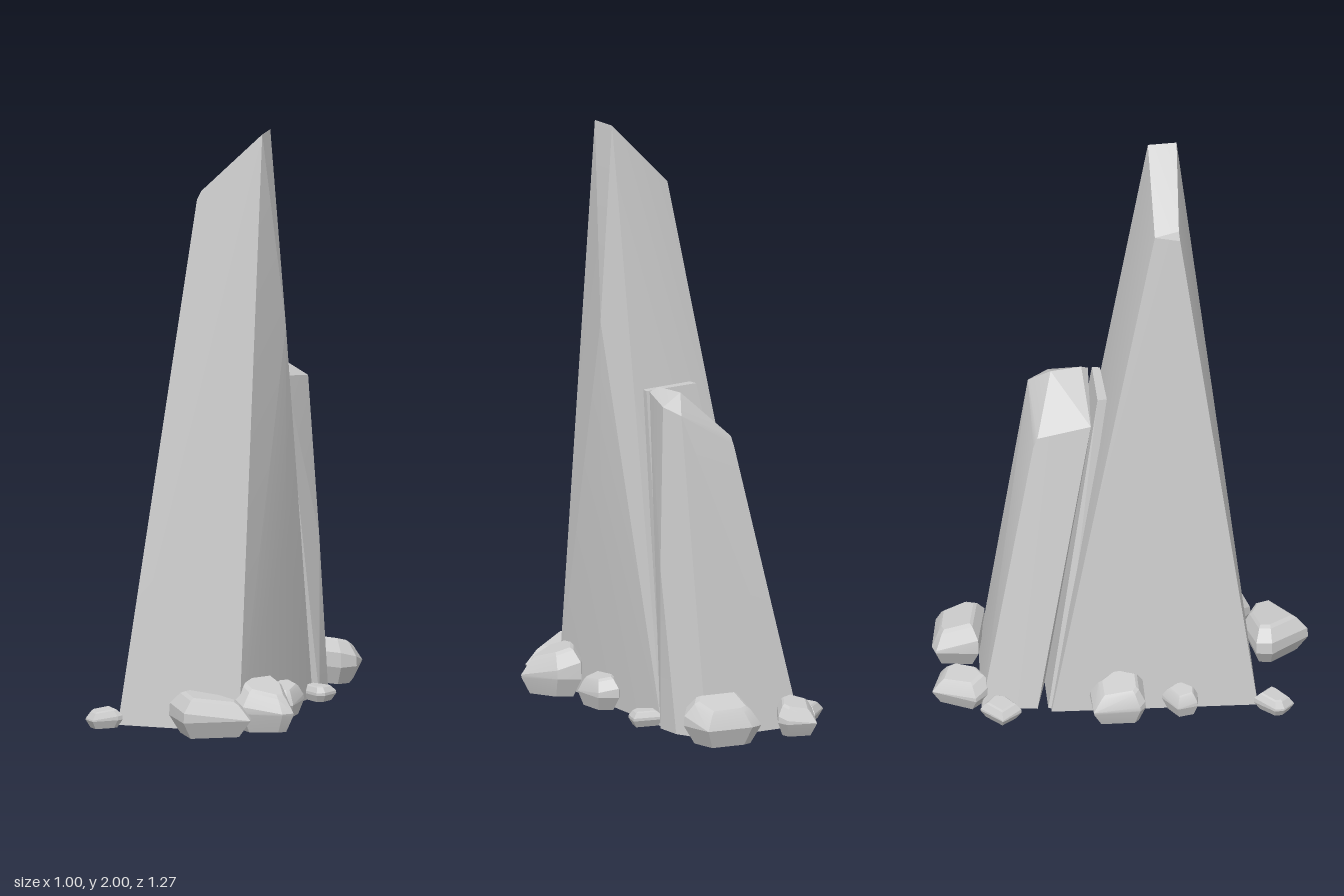
import * as THREE from 'three';
import { ConvexGeometry } from 'three/addons/geometries/ConvexGeometry.js';
import { toCreasedNormals } from 'three/addons/utils/BufferGeometryUtils.js';

const material = new THREE.MeshStandardMaterial({ color: 0xcccccc });

// Faceted solid wrapped around a handful of corner points.
function hull(name, points, crease = 0.3) {
  const geometry = new ConvexGeometry(points.map((p) => new THREE.Vector3(...p)));
  const mesh = new THREE.Mesh(toCreasedNormals(geometry, crease), material);
  mesh.name = name;
  return mesh;
}

// Boulder from its [x, z] outline: tucked-in foot, full belly, bevelled sloping top.
function boulder(name, outline, height, lean) {
  const cx = outline.reduce((s, p) => s + p[0], 0) / outline.length;
  const cz = outline.reduce((s, p) => s + p[1], 0) / outline.length;
  const rings = [[0.01, 0.72], [0.4, 1], [0.55, 0.98], [0.82, 0.72], [0.88, 0.6]];
  const points = [];
  for (const [level, scale] of rings) {
    for (const [x, z] of outline) {
      const dx = (x - cx) * scale, dz = (z - cz) * scale;
      const tilt = level > 0.5 ? dx * lean[0] + dz * lean[1] : 0;
      points.push([cx + dx, Math.min(height, level * height + tilt), cz + dz]);
    }
  }
  return hull(name, points);
}

export function createModel() {
  const group = new THREE.Group();
  group.name = 'rockSpires';

  // Tall spire with a slanted tip and a bulging side ridge
  group.add(hull('tallSpire', [
    [0.01, 0, 0.51], [0.37, 0, 0.28], [0.045, 0, -0.305], [-0.335, 0, -0.09],
    [0.01, 1.775, 0.125], [0.05, 1.76, 0.2], [0.035, 1.79, 0.125], [0.06, 1.79, 0.19],
    [0.255, 2, 0.085], [0.2, 2, 0.005],
    [0.24, 1.33, -0.03], [0.24, 0.6, -0.03],
  ]));

  // Thin slab lying against the back of the tall spire
  group.add(hull('backSlab', [
    [-0.06, 1.12, -0.02], [0.1, 1.12, -0.125], [0.09, 1.12, -0.15], [-0.08, 1.12, -0.045],
    [-0.31, 0, -0.07], [0.045, 0, -0.29], [0.03, 0, -0.32], [-0.32, 0, -0.11],
  ]));

  // Short spire leaning on the back
  group.add(hull('shortSpire', [
    [-0.42, 0, -0.31], [-0.34, 0, -0.14], [-0.1, 0, -0.48], [0, 0, -0.41],
    [0.05, 0, -0.33], [0, 0, -0.25],
    [-0.2, 0.95, -0.225], [-0.19, 0.98, -0.215], [-0.1, 1.02, -0.06],
    [0.08, 1.12, -0.16], [0.05, 1.14, -0.17], [-0.02, 1.14, -0.25],
    [-0.02, 1.08, -0.335], [0.04, 1.1, -0.29],
    [0.05, 0.55, -0.33],
  ]));

  // Boulders scattered round the foot: outline, height, slope of the top
  const boulders = [
    [[[0.2, 0.41], [0.32, 0.3], [0.43, 0.28], [0.48, 0.32], [0.37, 0.52], [0.22, 0.46]], 0.15, [-0.1, 0.1]],
    [[[0.3, 0.08], [0.38, 0.08], [0.5, 0.15], [0.49, 0.19], [0.4, 0.29], [0.29, 0.27]], 0.17, [-0.35, 0]],
    [[[0.18, -0.1], [0.25, -0.1], [0.315, 0], [0.31, 0.02], [0.25, 0.08], [0.17, 0.02]], 0.12, [-0.2, 0]],
    [[[0.04, -0.3], [0.14, -0.33], [0.155, -0.27], [0.14, -0.245], [0.05, -0.25]], 0.06, [0, 0]],
    [[[-0.28, -0.55], [-0.25, -0.58], [-0.1, -0.64], [-0.02, -0.55], [-0.03, -0.49], [-0.22, -0.42]], 0.16, [0.1, 0.3]],
    [[[-0.47, -0.47], [-0.37, -0.49], [-0.34, -0.46], [-0.34, -0.35], [-0.38, -0.29], [-0.46, -0.31]], 0.12, [0.2, 0.1]],
    [[[-0.5, -0.19], [-0.47, -0.29], [-0.4, -0.28], [-0.39, -0.23], [-0.42, -0.16]], 0.07, [0.1, 0]],
    [[[-0.36, 0.08], [-0.27, 0.02], [-0.18, 0.06], [-0.17, 0.17], [-0.25, 0.22], [-0.28, 0.215]], 0.15, [0.3, 0]],
    [[[-0.19, 0.31], [-0.15, 0.23], [-0.09, 0.26], [-0.1, 0.34], [-0.14, 0.36]], 0.1, [0.2, 0]],
    [[[-0.04, 0.6], [-0.02, 0.51], [0.06, 0.53], [0.06, 0.55], [0.03, 0.635], [-0.02, 0.625]], 0.07, [0, -0.1]],
  ];
  boulders.forEach(([outline, height, lean], i) => group.add(boulder(`boulder${i + 1}`, outline, height, lean)));

  return group;
}
